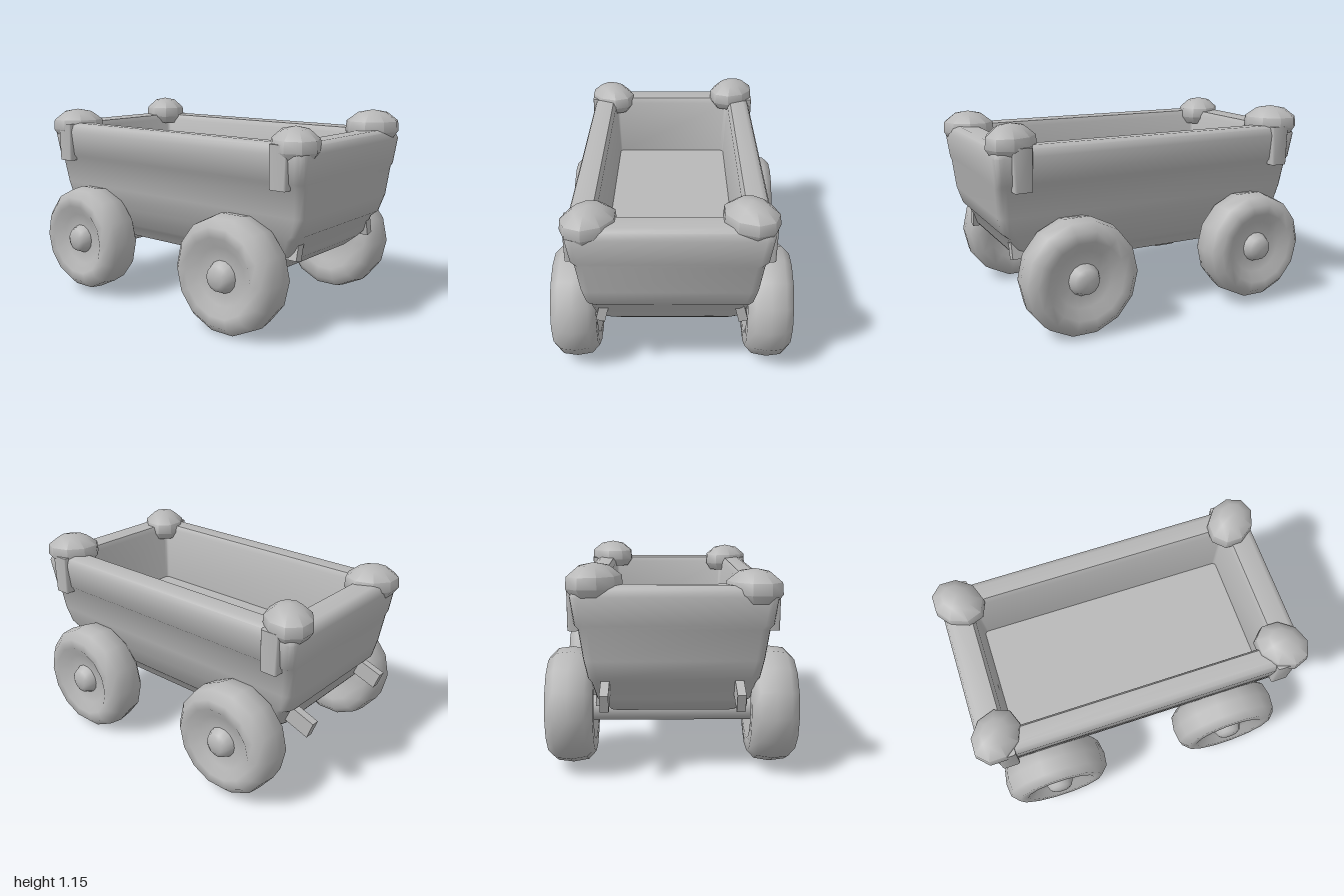
import * as THREE from 'three';
import { toCreasedNormals } from 'three/addons/utils/BufferGeometryUtils.js';

// Skin a stack of rounded rectangles [y, halfWidth, zBack, zFront, cornerRadius], capped at both ends
function loft(sections, perCorner = 4) {
  const pos = [], index = [], n = perCorner * 4;
  for (const [y, hx, z0, z1, r] of sections) {
    for (let q = 0; q < 4; q++) {
      const sx = q < 2 ? 1 : -1, front = q === 0 || q === 3;
      const cx = sx * (hx - r), cz = front ? z1 - r : z0 + r;
      for (let i = 0; i < perCorner; i++) {
        const a = (q + i / (perCorner - 1)) * Math.PI / 2;
        pos.push(cx + r * Math.sin(a), y, cz + r * Math.cos(a));
      }
    }
  }
  for (let s = 0; s < sections.length - 1; s++) {
    for (let i = 0; i < n; i++) {
      const a = s * n + i, b = s * n + (i + 1) % n;
      index.push(a, b, b + n, a, b + n, a + n);
    }
  }
  const last = (sections.length - 1) * n;
  for (let i = 1; i < n - 1; i++) {
    index.push(0, i + 1, i);
    index.push(last, last + i, last + i + 1);
  }
  const g = new THREE.BufferGeometry();
  g.setAttribute('position', new THREE.Float32BufferAttribute(pos, 3));
  g.setIndex(index);
  return toCreasedNormals(g, 0.8);
}

const lathe = (pts, sides) =>
  toCreasedNormals(new THREE.LatheGeometry(pts.map(p => new THREE.Vector2(...p)), sides), 0.9);

export function createModel() {
  const model = new THREE.Group();
  model.name = 'wagon';
  const grey = new THREE.MeshStandardMaterial({ color: 0xb8b8b8 });
  grey.name = 'grey';

  const add = (name, geometry, x = 0, y = 0, z = 0) => {
    const mesh = new THREE.Mesh(geometry, grey);
    mesh.name = name;
    mesh.position.set(x, y, z);
    model.add(mesh);
    return mesh;
  };

  // Tub: underside, flared walls, top plank, rim, then down to the floor inside
  add('tub', loft([
    [0.35, 0.34, -0.71, 0.73, 0.04],
    [0.41, 0.375, -0.79, 0.80, 0.05],
    [0.435, 0.405, -0.81, 0.82, 0.05],
    [0.53, 0.43, -0.845, 0.855, 0.05],
    [0.56, 0.445, -0.88, 0.89, 0.05],
    [0.66, 0.465, -0.90, 0.92, 0.05],
    [0.825, 0.487, -0.92, 0.935, 0.05],
    [0.845, 0.505, -0.925, 0.94, 0.05],
    [0.99, 0.525, -0.94, 0.955, 0.05],
    [1.03, 0.51, -0.925, 0.94, 0.05],
    [1.045, 0.48, -0.90, 0.91, 0.05],
    [1.04, 0.395, -0.785, 0.80, 0.03],
    [1.01, 0.378, -0.768, 0.785, 0.02],
    [0.66, 0.36, -0.755, 0.77, 0.02],
  ])).position.x = -0.01;

  // Wheel: rounded tyre, shallow disc and raised hub
  const wheelGeo = lathe([
    [0, -0.10], [0.15, -0.10], [0.20, -0.125], [0.27, -0.125], [0.315, -0.085],
    [0.33, 0], [0.32, 0.08], [0.275, 0.125], [0.22, 0.125], [0.16, 0.085],
    [0.09, 0.08], [0.07, 0.125], [0.045, 0.14], [0, 0.142],
  ], 14);
  const axleGeo = new THREE.CylinderGeometry(0.07, 0.07, 0.9, 10).rotateZ(Math.PI / 2);
  const bearingGeo = new THREE.BoxGeometry(0.08, 0.14, 0.16);

  for (const [end, y, z, scale] of [['front', 0.328, 0.525, 1], ['rear', 0.35, -0.59, 0.965]]) {
    add(end + 'Axle', axleGeo, 0, 0.33, z);
    for (const side of [-1, 1]) {
      const wheel = add(end + (side > 0 ? 'Left' : 'Right') + 'Wheel', wheelGeo, side * 0.54, y, z);
      wheel.rotation.z = -side * Math.PI / 2;
      wheel.scale.set(scale, 1, scale);
      // Bearing block joining axle and tub
      add(end + 'Bearing', bearingGeo, side * 0.37, 0.43, z);
    }
  }

  // Corner posts: faceted mushroom cap over a strap on the side wall
  const capGeo = lathe([
    [0, -0.06], [0.11, -0.055], [0.14, -0.01], [0.135, 0.05], [0.075, 0.1], [0, 0.115],
  ], 9);
  const strapGeo = loft([
    [-0.115, 0.045, -0.05, 0.05, 0.012], [0.115, 0.045, -0.055, 0.055, 0.012],
  ]);
  for (const sx of [-1, 1]) {
    for (const sz of [-1, 1]) {
      const cap = add('cornerCap', capGeo, sx > 0 ? 0.395 : -0.415, sx > 0 ? 1.04 : 1.01, sz * 0.83);
      cap.rotation.y = sx * sz * Math.PI / 4;
      cap.scale.set(0.93, 1, 1.13);
      add('cornerStrap', strapGeo, sx > 0 ? 0.487 : -0.502, 0.925, sz * 0.81);
    }
  }

  // Small lugs under the tub corners; the rear pair sticks out as hooks
  const hookGeo = new THREE.BoxGeometry(0.045, 0.10, 0.15);
  const lugGeo = new THREE.BoxGeometry(0.05, 0.12, 0.07);
  for (const sx of [-1, 1]) {
    add('rearHook', hookGeo, sx * 0.345, 0.485, -0.905).rotation.x = -0.35;
    add('frontLug', lugGeo, sx * 0.37, 0.475, 0.81).rotation.z = sx * 0.25;
  }
  return model;
}
